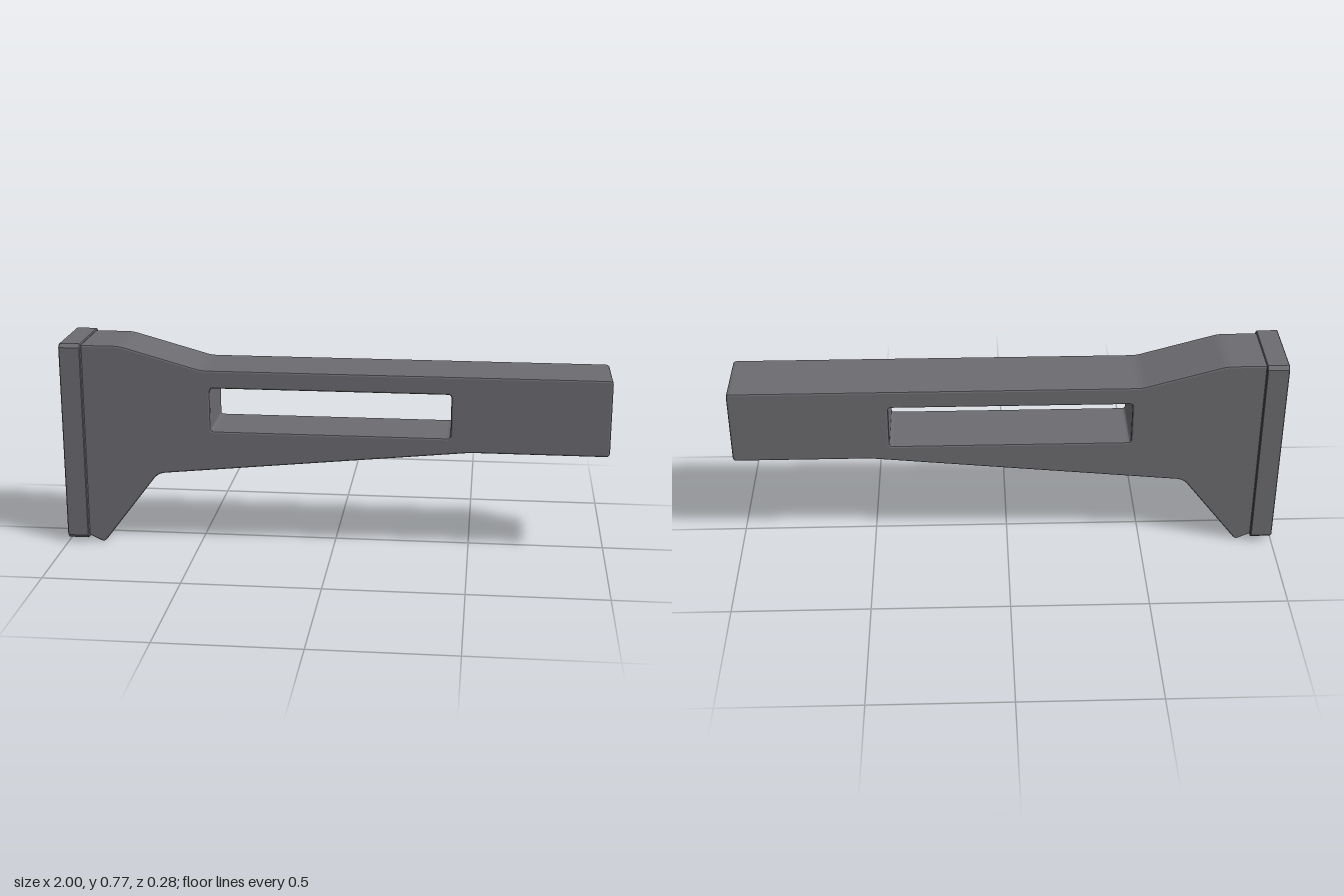
import * as THREE from 'three';

// Closed outline with each corner rounded; a point is [a, b, radius]
function roundedPath(points, path = new THREE.Shape()) {
  const n = points.length;
  points.forEach(([x, y, r = 0.008], i) => {
    const corner = new THREE.Vector2(x, y);
    const toward = ([px, py]) =>
      new THREE.Vector2(px, py).sub(corner).setLength(r).add(corner);
    const a = toward(points[(i + n - 1) % n]);
    const b = toward(points[(i + 1) % n]);
    if (i === 0) path.moveTo(a.x, a.y);
    else path.lineTo(a.x, a.y);
    path.quadraticCurveTo(x, y, b.x, b.y);
  });
  path.closePath();
  return path;
}

// Extrusion centred on z = 0 whose bevel stays inside the outline
function slab(shape, width, bevel, bevelSegments) {
  const geometry = new THREE.ExtrudeGeometry(shape, {
    depth: width - 2 * bevel,
    bevelEnabled: true,
    bevelSize: bevel,
    bevelThickness: bevel,
    bevelOffset: -bevel,
    bevelSegments,
    curveSegments: 3,
  });
  return geometry.translate(0, 0, bevel - width / 2);
}

export function createModel() {
  const group = new THREE.Group();
  const darkGrey = new THREE.MeshStandardMaterial({ color: 0x6c6b70 });
  darkGrey.name = 'darkGrey';

  function add(name, geometry) {
    const mesh = new THREE.Mesh(geometry, darkGrey);
    mesh.name = name;
    group.add(mesh);
    return mesh;
  }

  // Tapered arm with a flared rear and a long slot through it
  const outline = roundedPath([
    [-0.95, 0.03],
    [-0.92, 0.026],
    [-0.866, 0, 0.014],
    [-0.652, 0.28, 0.025],
    [0.5, 0.396, 0.02],
    [1, 0.396, 0.014],
    [1, 0.68, 0.014],
    [-0.48, 0.68, 0.02],
    [-0.78, 0.764, 0.02],
    [-0.95, 0.764],
  ]);
  outline.holes.push(roundedPath([
    [-0.45, 0.45, 0.012],
    [-0.45, 0.612, 0.012],
    [0.428, 0.612, 0.012],
    [0.428, 0.45, 0.012],
  ], new THREE.Path()));
  add('arm', slab(outline, 0.242, 0.007, 2));

  // End pad: rectangle with chamfered corners, extruded along x
  const [w, h, c] = [0.14, 0.375, 0.013];
  const padShape = new THREE.Shape([
    [w - c, -h], [w, c - h], [w, h - c], [w - c, h],
    [c - w, h], [-w, h - c], [-w, c - h], [c - w, -h],
  ].map(([x, y]) => new THREE.Vector2(x, y)));
  const pad = add('endPad', slab(padShape, 0.08, 0.003, 1));
  pad.rotation.y = Math.PI / 2;
  pad.position.set(-0.96, 0.395, 0);

  return group;
}
